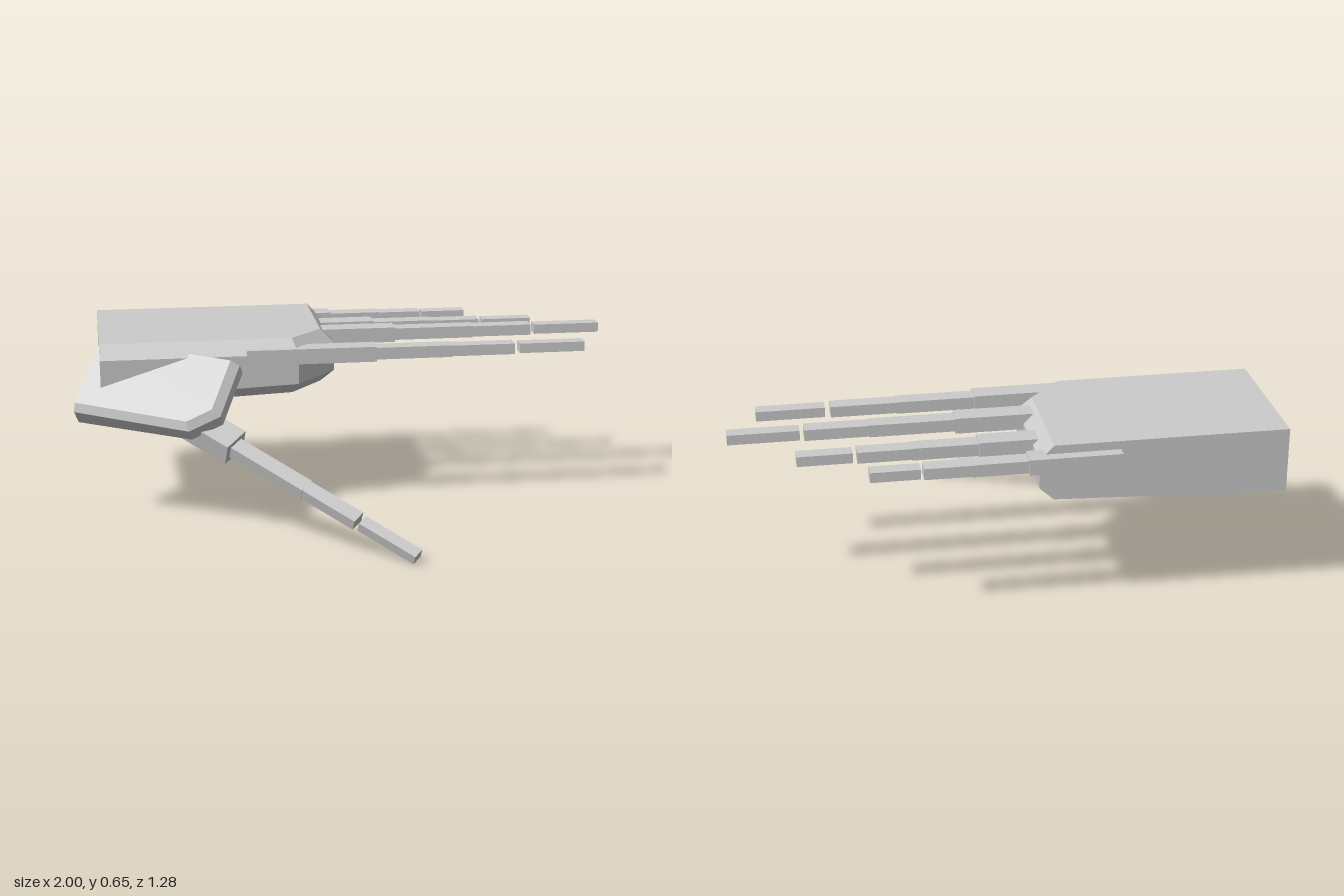
import * as THREE from 'three';

const material = new THREE.MeshStandardMaterial({ color: 0xcccccc, flatShading: true });

// Solid from horizontal rings (bottom to top) of matching corners, capped at both ends
function loft(rings) {
  const n = rings[0].length, last = (rings.length - 1) * n, index = [];
  for (let r = 0; r < rings.length - 1; r++) {
    for (let i = 0; i < n; i++) {
      const a = r * n + i, b = r * n + (i + 1) % n;
      index.push(a, a + n, b, b, a + n, b + n);
    }
  }
  for (let k = 1; k < n - 1; k++) {
    index.push(0, k, k + 1);
    index.push(last, last + k + 1, last + k);
  }
  const geometry = new THREE.BufferGeometry();
  geometry.setAttribute('position', new THREE.Float32BufferAttribute(rings.flat(2), 3));
  geometry.setIndex(index);
  return geometry;
}

// Bevelled slab with one cut corner, shared by the palm and the thumb base
function slabGeometry() {
  const outer = [[-0.9, -0.6], [-0.03, -0.6], [-0.03, -0.16], [-0.18, 0], [-0.9, 0]];
  const inner = [[-0.9, -0.6], [-0.08, -0.6], [-0.08, -0.18], [-0.2, -0.05], [-0.9, -0.05]];
  const ring = (outline, y, slope = 0) => outline.map(([x, z]) => [x, y + slope * (x + 0.03), z]);
  return loft([
    ring(inner, 0.457, 0.043),
    ring(outer, 0.5, 0.043),
    ring(outer, 0.605),
    ring(inner, 0.655),
  ]);
}

function finish(geometry, name) {
  const flat = geometry.toNonIndexed();
  flat.computeVertexNormals();
  const mesh = new THREE.Mesh(flat, material);
  mesh.name = name;
  return mesh;
}

// Row of boxes along local x; each is [start, end, height, width]
function digit(name, segments) {
  const group = new THREE.Group();
  group.name = name;
  const names = ['Knuckle', 'LowerSegment', 'MiddleSegment', 'Tip'];
  segments.forEach(([start, end, height, width], i) => {
    const mesh = finish(new THREE.BoxGeometry(end - start, height, width), name + names[i]);
    mesh.position.x = (start + end) / 2;
    group.add(mesh);
  });
  return group;
}

export function createModel() {
  const model = new THREE.Group();
  model.name = 'mechanicalHand';

  model.add(finish(slabGeometry(), 'palm'));

  // Thumb base: a smaller slab, turned to face up and forward
  const u = new THREE.Vector3(0.896, -0.073, 0.436).normalize();
  const v = new THREE.Vector3(0.385, 0.654, -0.654).normalize();
  const n = u.clone().cross(v).normalize();
  v.copy(n).cross(u);
  const place = new THREE.Matrix4().makeBasis(
    u.clone().multiplyScalar(0.62),
    n.clone().multiplyScalar(0.47),
    v.clone().multiplyScalar(-0.51)
  );
  place.setPosition(-0.995, 0.46, 0.02);
  const base = slabGeometry().translate(0.9, -0.655, 0.05).applyMatrix4(place);
  model.add(finish(base, 'thumbBase'));

  // Fingers: y, z, then the x of the knuckle start, two joints, middle end, tip start, tip end
  const fingers = [
    ['littleFinger', 0.597, -0.6, [-0.31, 0.01, 0.2, 0.365, 0.375, 0.545]],
    ['ringFinger', 0.597, -0.435, [-0.3, 0.155, 0.385, 0.57, 0.585, 0.775]],
    ['middleFinger', 0.613, -0.255, [-0.3, 0.21, 0.51, 0.735, 0.75, 1.0]],
    ['indexFinger', 0.597, -0.033, [-0.37, 0.107, 0.39, 0.625, 0.645, 0.89]],
  ];
  for (const [name, y, z, x] of fingers) {
    const finger = digit(name, [
      [x[0], x[1], 0.056, 0.078],
      [x[1], x[2], 0.044, 0.064],
      [x[2], x[3], 0.04, 0.06],
      [x[4], x[5], 0.036, 0.053],
    ]);
    finger.position.set(0, y, z);
    model.add(finger);
  }

  // Thumb: reaches forward and down, rolled toward the front
  const thumb = digit('thumb', [
    [-0.2, 0, 0.085, 0.11],
    [0, 0.31, 0.046, 0.062],
    [0.31, 0.53, 0.042, 0.057],
    [0.545, 0.78, 0.037, 0.046],
  ]);
  const along = new THREE.Vector3(0.758, -0.374, 0.535).normalize();
  const side = along.clone().cross(new THREE.Vector3(0, 1, 0)).normalize();
  const up = side.clone().cross(along);
  up.applyAxisAngle(along, 0.35);
  side.copy(along).cross(up);
  thumb.quaternion.setFromRotationMatrix(new THREE.Matrix4().makeBasis(along, up, side));
  thumb.position.set(-0.433, 0.32, 0.195);
  model.add(thumb);

  return model;
}
